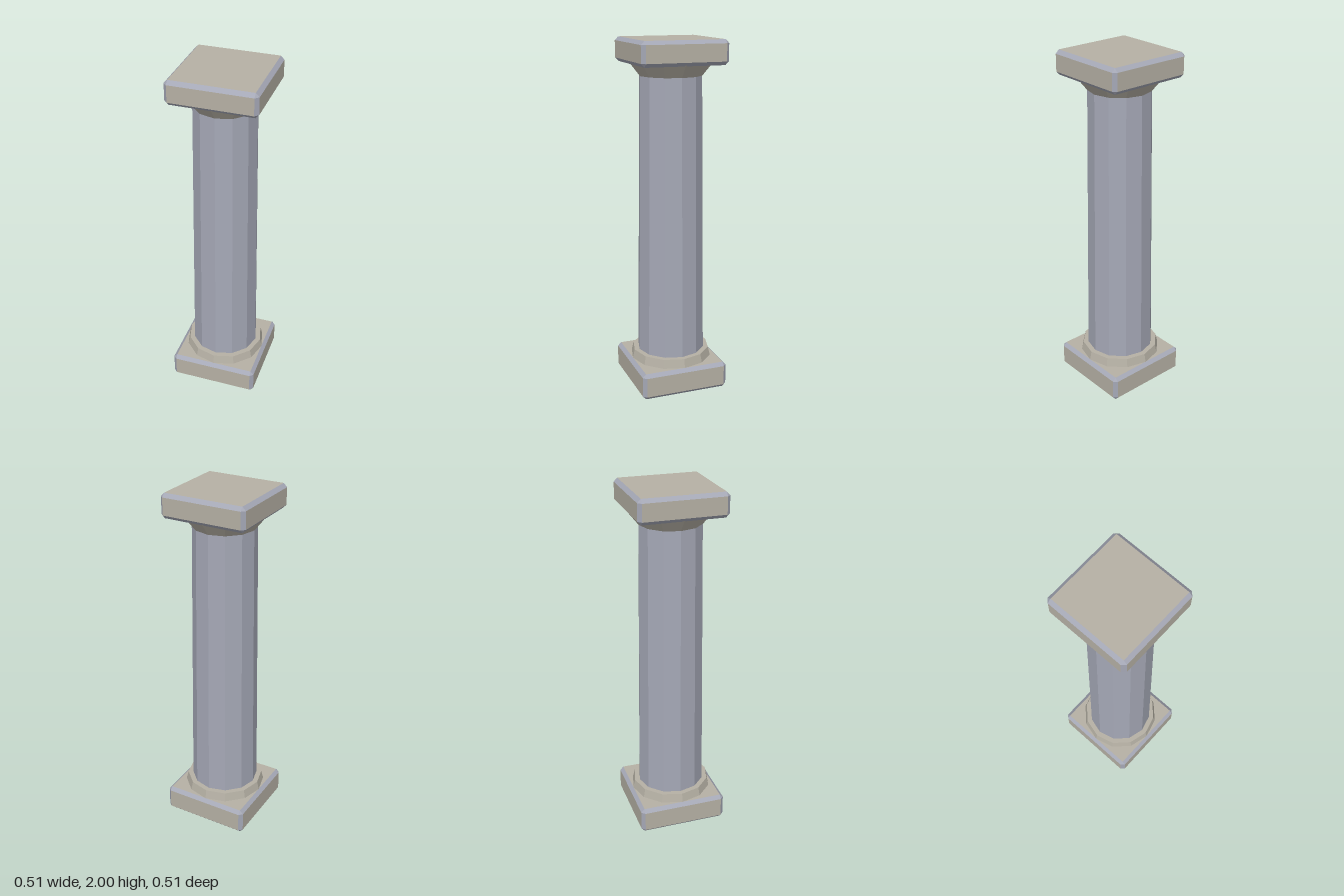
import * as THREE from 'three';
import { ConvexGeometry } from 'three/addons/geometries/ConvexGeometry.js';

const SIDES = 12;

// Box with every edge chamfered; flat sides use material 0, chamfers material 1
function chamferedBox(half, y0, y1, bevel) {
  const size = [half, (y1 - y0) / 2, half];
  const points = [];
  for (const sx of [-1, 1]) for (const sy of [-1, 1]) for (const sz of [-1, 1]) {
    for (let axis = 0; axis < 3; axis++) {
      const p = size.map((s, i) => (i === axis ? s : s - bevel));
      points.push(new THREE.Vector3(sx * p[0], sy * p[1], sz * p[2]));
    }
  }
  const geometry = new ConvexGeometry(points);
  const n = geometry.attributes.normal;
  for (let i = 0; i < n.count; i += 3) {
    const flat = Math.max(Math.abs(n.getX(i)), Math.abs(n.getY(i)), Math.abs(n.getZ(i))) > 0.95;
    geometry.addGroup(i, 3, flat ? 0 : 1);
  }
  return geometry.translate(0, (y0 + y1) / 2, 0);
}

// Faceted tapered drum between two heights
function drum(rBottom, rTop, y0, y1) {
  return new THREE.CylinderGeometry(rTop, rBottom, y1 - y0, SIDES)
    .toNonIndexed().translate(0, (y0 + y1) / 2, 0);
}

export function createModel() {
  const stone = new THREE.MeshStandardMaterial({ color: 0xb5b0a4, flatShading: true });
  stone.name = 'warm stone';
  const slate = new THREE.MeshStandardMaterial({ color: 0xa5a8b6, flatShading: true });
  slate.name = 'blue grey stone';

  const model = new THREE.Group();
  model.name = 'column';
  const add = (name, geometry, material) => {
    const mesh = new THREE.Mesh(geometry, material);
    mesh.name = name;
    model.add(mesh);
  };

  // Base
  add('baseSlab', chamferedBox(0.256, 0, 0.155, 0.02), [stone, slate]);
  add('baseRing', drum(0.238, 0.225, 0.15, 0.205), stone);

  // Shaft
  add('shaft', drum(0.195, 0.175, 0.2, 1.8), slate);

  // Capital
  add('capitalFlare', drum(0.176, 0.232, 1.8, 1.87), stone);
  add('capitalSlab', chamferedBox(0.246, 1.865, 2, 0.02), [stone, slate]);

  return model;
}
